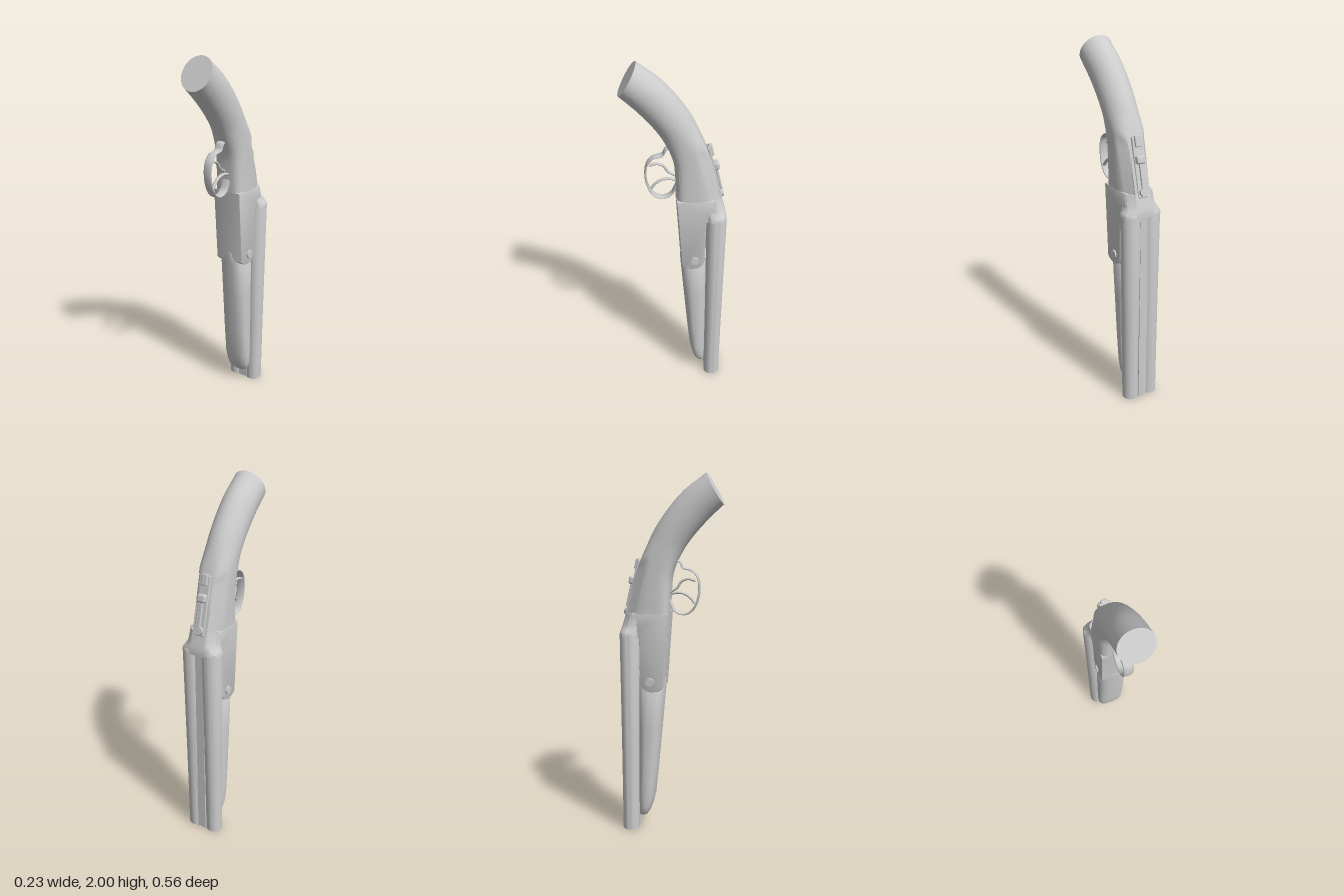
import * as THREE from 'three';
import { toCreasedNormals } from 'three/addons/utils/BufferGeometryUtils.js';
import { RoundedBoxGeometry } from 'three/addons/geometries/RoundedBoxGeometry.js';

const material = new THREE.MeshStandardMaterial({ color: 0xcccccc });

function add(parent, name, geometry, x = 0, y = 0, z = 0) {
  const mesh = new THREE.Mesh(geometry, material);
  mesh.name = name;
  mesh.position.set(x, y, z);
  parent.add(mesh);
  return mesh;
}

// Closed skin over sections listed bottom to top.
// f, b: front and back points [z, y]; w: half width; n: squareness;
// cx: x offset; tang: half width the back edge narrows to.
function loft(sections, sides = 40, crease = 0.6) {
  const pos = [], idx = [];
  const shape = (c, n) => Math.sign(c) * Math.abs(c) ** (2 / n);
  sections.forEach(({ f, b, w, n = 2, cx = 0, tang = w }) => {
    for (let j = 0; j < sides; j++) {
      const a = (j / sides) * Math.PI * 2;
      const t = (1 - shape(Math.cos(a), n)) / 2;
      const limit = THREE.MathUtils.lerp(w, tang, THREE.MathUtils.clamp((t - 0.68) / 0.3, 0, 1));
      const x = THREE.MathUtils.clamp(w * shape(Math.sin(a), n), -limit, limit);
      pos.push(cx + x, f[1] + (b[1] - f[1]) * t, f[0] + (b[0] - f[0]) * t);
    }
  });
  const rows = sections.length;
  for (let i = 0; i < rows - 1; i++) {
    for (let j = 0; j < sides; j++) {
      const a = i * sides + j, b = i * sides + (j + 1) % sides;
      idx.push(a, b, b + sides, a, b + sides, a + sides);
    }
  }
  for (const i of [0, rows - 1]) {
    const { f, b, cx = 0 } = sections[i];
    const c = pos.length / 3;
    pos.push(cx, (f[1] + b[1]) / 2, (f[0] + b[0]) / 2);
    for (let j = 0; j < sides; j++) {
      const p = i * sides + j, q = i * sides + (j + 1) % sides;
      if (i === 0) idx.push(c, q, p); else idx.push(c, p, q);
    }
  }
  const g = new THREE.BufferGeometry();
  g.setAttribute('position', new THREE.Float32BufferAttribute(pos, 3));
  g.setIndex(idx);
  return toCreasedNormals(g, crease);
}

const sideCurve = (pts) => new THREE.CatmullRomCurve3(pts.map(([z, y]) => new THREE.Vector3(0, y, z)));

// Bent rod in the side plane, widened across x
function strap(pts, radius, widen) {
  return new THREE.TubeGeometry(sideCurve(pts), 40, radius, 10).scale(widen, 1, 1);
}

function barrel(bottomX, topX) {
  const profile = [[0, 0.6], [0.036, 0.6], [0.036, 0], [0.046, 0], [0.049, 0.5], [0.055, 1.13],
    [0.052, 1.148], [0.04, 1.162], [0.02, 1.17], [0, 1.172]];
  const g = new THREE.LatheGeometry(profile.map((p) => new THREE.Vector2(...p)), 36);
  const p = g.attributes.position;
  for (let i = 0; i < p.count; i++) {
    p.setX(i, p.getX(i) + bottomX + (topX - bottomX) * p.getY(i) / 1.13);
  }
  return toCreasedNormals(g, 0.7);
}

export function createModel() {
  const model = new THREE.Group();
  model.name = 'doubleBarrelProp';

  // Curved grip, running from a squarish base to a round end
  const front = sideCurve([[-0.01, 1.25], [-0.006, 1.36], [0.005, 1.46], [0.035, 1.54], [0.095, 1.64], [0.19, 1.75], [0.28, 1.835]]);
  const back = sideCurve([[-0.25, 1.25], [-0.215, 1.39], [-0.18, 1.51], [-0.14, 1.61], [-0.08, 1.73], [0.05, 1.895], [0.185, 2]]);
  const grip = [];
  for (let i = 0; i <= 28; i++) {
    const t = i / 28, f = front.getPoint(t), b = back.getPoint(t);
    const w = 0.088 + 0.004 * t;
    grip.push({
      f: [f.z, f.y], b: [b.z, b.y], w,
      n: 2 + 2.5 * Math.max(0, 1 - t * 1.7),
      tang: THREE.MathUtils.lerp(0.045, w, THREE.MathUtils.smoothstep(t, 0.3, 0.55)),
    });
  }
  add(model, 'grip', loft(grip, 48));

  // Receiver with rounded lower lobes
  const side = new THREE.Shape();
  side.moveTo(-0.014, 1.25);
  side.lineTo(-0.205, 1.25);
  side.lineTo(-0.225, 1.14);
  side.lineTo(-0.165, 1.12);
  side.lineTo(-0.162, 0.87);
  side.quadraticCurveTo(-0.155, 0.82, -0.105, 0.818);
  side.quadraticCurveTo(-0.06, 0.818, -0.043, 0.84);
  side.closePath();
  const body = new THREE.ExtrudeGeometry(side, {
    depth: 0.163, bevelThickness: 0.005, bevelSize: 0.004, bevelSegments: 2, curveSegments: 12,
  }).translate(0, 0, -0.0815).rotateY(-Math.PI / 2);
  add(model, 'receiver', toCreasedNormals(body, 0.5), 0.002);

  // Breech shoulders tapering into the grip
  add(model, 'breech', loft([
    { f: [-0.17, 1.125], b: [-0.28, 1.125], w: 0.113, n: 3.5 },
    { f: [-0.17, 1.145], b: [-0.28, 1.145], w: 0.111, n: 3.5 },
    { f: [-0.165, 1.165], b: [-0.277, 1.165], w: 0.098, n: 3.2, tang: 0.07 },
    { f: [-0.15, 1.185], b: [-0.271, 1.185], w: 0.086, n: 3.5, tang: 0.05 },
    { f: [-0.13, 1.25], b: [-0.251, 1.25], w: 0.084, n: 4, tang: 0.045 },
  ]));

  // Barrels with top and bottom ribs
  add(model, 'rightBarrel', barrel(-0.066, -0.06), 0, 0, -0.227);
  add(model, 'leftBarrel', barrel(0.053, 0.06), 0, 0, -0.227);
  add(model, 'backRib', new THREE.BoxGeometry(0.05, 1.13, 0.012), -0.004, 0.565, -0.26);
  add(model, 'frontRib', new THREE.BoxGeometry(0.056, 1.13, 0.012), -0.004, 0.565, -0.194);

  // Fore-end with a rounded tip and a tongue over the receiver
  const foreEnd = [
    [0.065, -0.148, 0.03], [0.075, -0.137, 0.05], [0.095, -0.124, 0.064], [0.13, -0.111, 0.073],
    [0.19, -0.096, 0.078], [0.35, -0.079, 0.08], [0.6, -0.056, 0.081], [0.82, -0.036, 0.082],
    [0.85, -0.034, 0.062], [0.885, -0.032, 0.032],
  ].map(([y, z, w]) => ({ f: [z, y], b: [-0.185, y], w, n: 2.6, cx: -0.007 * (1 - y / 0.9) }));
  add(model, 'foreEnd', loft(foreEnd));

  // Hinge pins
  for (const s of [-1, 1]) {
    const pin = new THREE.CylinderGeometry(0.022, 0.024, 0.012, 24).rotateZ(-s * Math.PI / 2);
    add(model, s < 0 ? 'rightHingePin' : 'leftHingePin', pin, 0.002 + s * 0.089, 0.872, -0.11);
  }

  // Trigger guard and the two triggers
  add(model, 'triggerGuard', strap([[0.02, 1.545], [0.045, 1.53], [0.06, 1.5], [0.11, 1.485], [0.142, 1.45],
    [0.152, 1.385], [0.138, 1.31], [0.105, 1.26], [0.06, 1.245], [0.015, 1.265], [-0.012, 1.32]], 0.006, 4.4));
  add(model, 'frontTrigger', strap([[-0.02, 1.35], [0.03, 1.362], [0.07, 1.355], [0.1, 1.335], [0.125, 1.305]], 0.007, 1.5), 0.012);
  add(model, 'rearTrigger', strap([[-0.02, 1.36], [0.03, 1.39], [0.055, 1.425], [0.09, 1.44], [0.132, 1.43]], 0.007, 1.5), -0.012);

  // Tang with opening lever and safety, leaning along the back of the grip
  const tang = new THREE.Group();
  tang.name = 'tang';
  tang.position.set(0, 1.25, -0.25);
  tang.rotation.x = 0.237;
  model.add(tang);
  add(tang, 'tangPlate', new RoundedBoxGeometry(0.06, 0.32, 0.016, 3, 0.006), 0, 0.14, 0.002);
  add(tang, 'leverPivot', new THREE.CylinderGeometry(0.022, 0.024, 0.016, 24).rotateX(-Math.PI / 2), 0, 0.01, -0.01);
  add(tang, 'leverArm', new RoundedBoxGeometry(0.018, 0.17, 0.014, 3, 0.005), 0, 0.09, -0.012);
  add(tang, 'leverThumbPiece', new RoundedBoxGeometry(0.052, 0.045, 0.032, 4, 0.012), 0, 0.18, -0.015);
  add(tang, 'safetySlide', new RoundedBoxGeometry(0.036, 0.06, 0.02, 3, 0.006), 0, 0.275, -0.008);
  return model;
}
